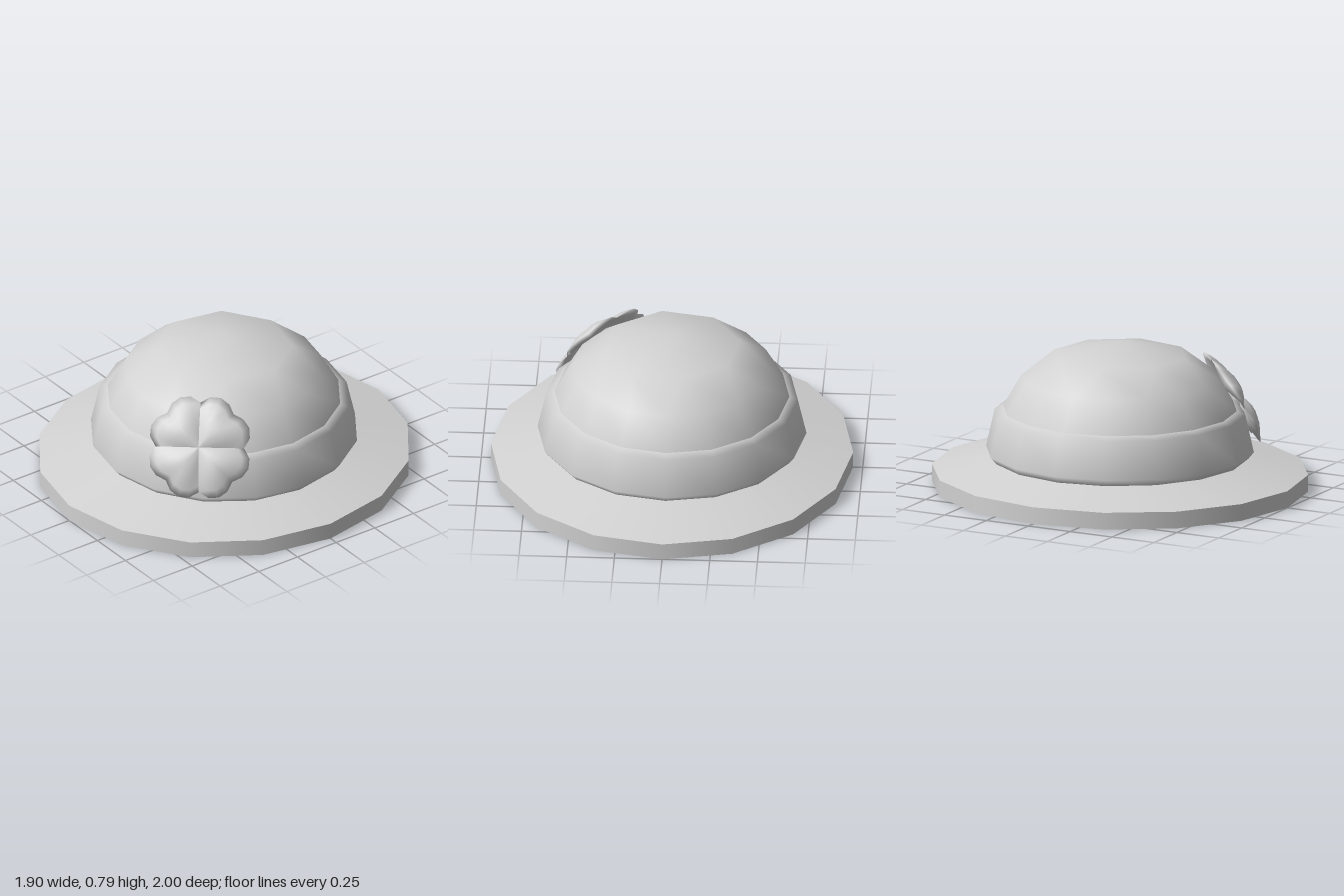
import * as THREE from 'three';

const SIDES = 16;

// Smooth lathe from [radius, height] pairs
function lathe(profile) {
  const geo = new THREE.LatheGeometry(profile.map(([r, y]) => new THREE.Vector2(r, y)), SIDES);
  geo.normalizeNormals();
  return geo;
}

// The brim's outer edge is slightly narrower across x
function narrowEdge(geo) {
  const p = geo.attributes.position;
  for (let i = 0; i < p.count; i++) {
    if (Math.hypot(p.getX(i), p.getZ(i)) > 0.8) p.setX(i, p.getX(i) * 0.95);
  }
  return geo;
}

// Dome whose top ring merges its corners in pairs; normalY is the pole direction
function dome(profile, normalY) {
  const geo = lathe(profile);
  const { position: p, normal: n } = geo.attributes;
  for (let i = 0; i < p.count; i++) {
    const r = Math.hypot(p.getX(i), p.getZ(i));
    const column = Math.floor(i / profile.length);
    if (r < 1e-5) n.setXYZ(i, 0, normalY, 0);
    else if (r < 0.4) {
      const a = (column - (column % 2) + 0.5) * Math.PI * 2 / SIDES;
      const side = Math.hypot(n.getX(i), n.getZ(i)) * normalY;
      p.setXYZ(i, r * Math.sin(a), p.getY(i), r * Math.cos(a));
      n.setXYZ(i, side * Math.sin(a), n.getY(i), side * Math.cos(a));
    }
  }
  return geo;
}

// Puffy heart-shaped petal filling a quarter turn, facing +z
function petalGeometry() {
  const outline = [0.235, 0.27, 0.282, 0.274, 0.25, 0.274, 0.282, 0.27, 0.235];
  const rings = 7, cols = outline.length;
  const pos = [], index = [];
  for (let i = 0; i <= rings * 2; i++) {
    const front = i <= rings;
    const u = (front ? i : rings * 2 - i) / rings;
    for (let j = 0; j < cols; j++) {
      const t = (j / (cols - 1)) * 2 - 1;
      const a = t * Math.PI / 4;
      const r = outline[j] * u;
      const puff = Math.sin(Math.PI * Math.pow(u, 1.2)) * (1 - t * t);
      const h = 0.04 * (1 - u * u) + puff * (front ? 0.032 : -0.045);
      pos.push(r * Math.cos(a), r * Math.sin(a), h);
      if (i < rings * 2 && j < cols - 1) {
        const k = i * cols + j;
        index.push(k, k + cols, k + 1, k + 1, k + cols, k + cols + 1);
      }
    }
  }
  const geo = new THREE.BufferGeometry();
  geo.setAttribute('position', new THREE.Float32BufferAttribute(pos, 3));
  geo.setIndex(index);
  geo.computeVertexNormals();
  return geo;
}

export function createModel() {
  const model = new THREE.Group();
  model.name = 'hat';
  const felt = new THREE.MeshStandardMaterial({ color: 0xd2d2d2 });
  felt.name = 'light grey felt';

  function add(name, geo, parent = model) {
    const mesh = new THREE.Mesh(geo, felt);
    mesh.name = name;
    parent.add(mesh);
    return mesh;
  }

  // Brim, split where its edges are sharp
  add('brimUnderside', narrowEdge(lathe([[0.675, 0], [1, 0]])));
  add('brimEdge', narrowEdge(lathe([[1, 0], [1, 0.09]])));
  add('brimTop', narrowEdge(lathe([[1, 0.09], [0.66, 0.168]])));

  // Crown outside and hollow inside
  add('crown', dome([[0.64, 0.3], [0.615, 0.42], [0.52, 0.585], [0.36, 0.71], [0, 0.785]], 1));
  add('lining', dome([[0, 0.77], [0.352, 0.697], [0.51, 0.573], [0.602, 0.41], [0.655, 0.2], [0.675, 0]], -1));

  // Hat band
  add('band', lathe([[0.675, 0.163], [0.705, 0.2], [0.66, 0.4], [0.612, 0.42]]));

  // Four-petalled flower on the front left of the crown
  const flower = new THREE.Group();
  flower.name = 'flower';
  const facing = new THREE.Vector3(0.6, 0.5, 0.63).normalize();
  flower.position.set(0.4, 0.447, 0.447);
  flower.lookAt(facing.add(flower.position));
  const petal = petalGeometry();
  for (let i = 0; i < 4; i++) {
    add('petal', petal, flower).rotation.z = Math.PI / 4 + 0.07 + i * Math.PI / 2;
  }
  model.add(flower);
  return model;
}
